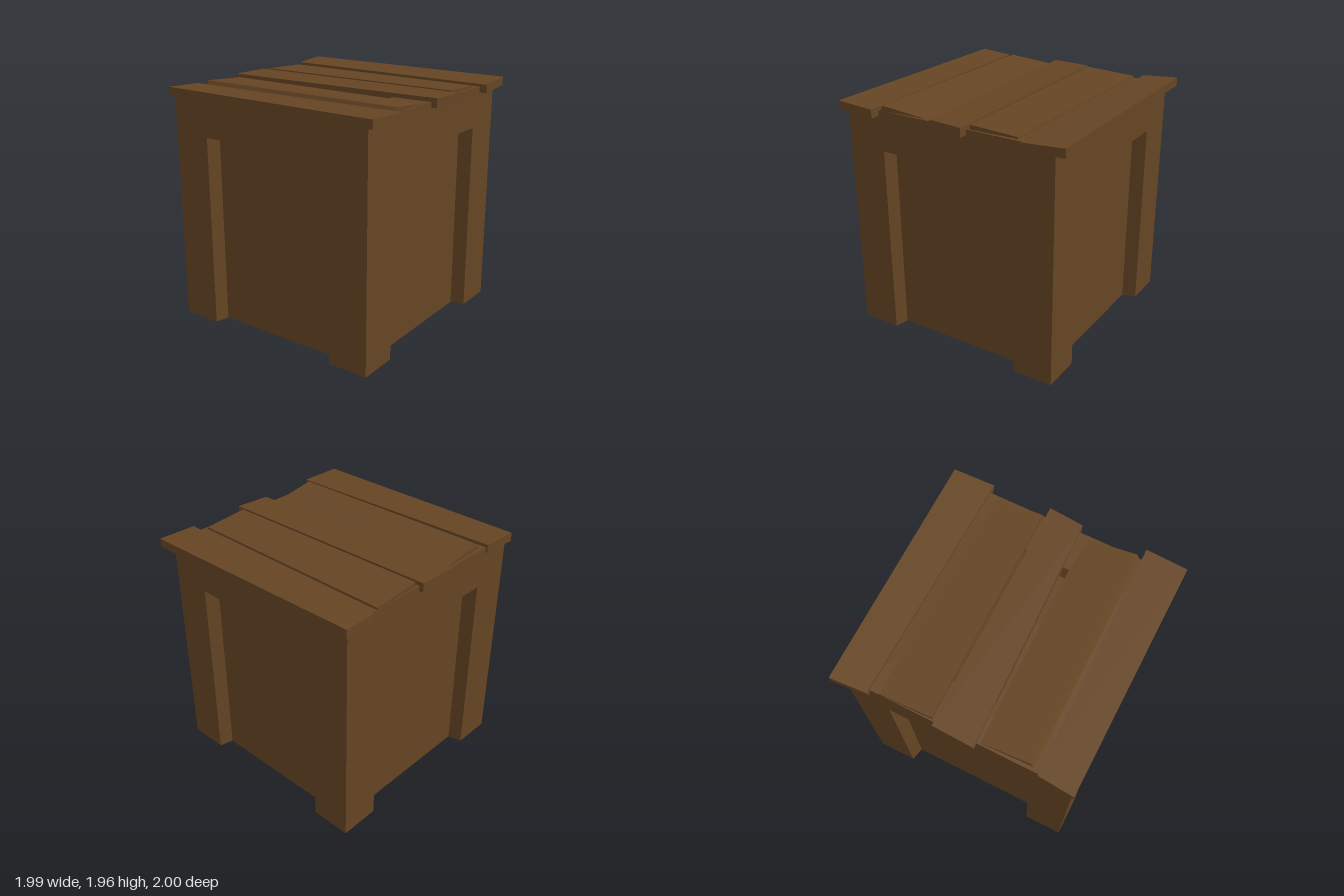
import * as THREE from 'three';

const wood = new THREE.MeshStandardMaterial({ color: 0x654524, side: THREE.DoubleSide });
wood.name = 'dark brown wood';

// Flat-faced mesh from quads whose corners run counter-clockwise seen from outside
function quadMesh(name, quads) {
  const pos = [];
  for (const [a, b, c, d] of quads) pos.push(...a, ...b, ...c, ...a, ...c, ...d);
  const geo = new THREE.BufferGeometry();
  geo.setAttribute('position', new THREE.Float32BufferAttribute(pos, 3));
  geo.computeVertexNormals();
  const mesh = new THREE.Mesh(geo, wood);
  mesh.name = name;
  return mesh;
}

const HALF = 0.926, TOP = 1.92;       // crate half width and height
const OPEN = 0.595, INNER = 0.57;     // recess half width at the rim and at the panel
const RIM = 1.59, INNER_TOP = 1.565;  // recess height at the rim and at the panel
const DEPTH = 0.115;

// One wall: two legs, a top rail, sloping reveals and a sunken panel
function wall(name) {
  const f = HALF, b = HALF - DEPTH;
  const quads = [
    [[-INNER, 0, b], [INNER, 0, b], [INNER, INNER_TOP, b], [-INNER, INNER_TOP, b]],
    [[-HALF, RIM, f], [HALF, RIM, f], [HALF, TOP, f], [-HALF, TOP, f]],
    [[-OPEN, RIM, f], [-INNER, INNER_TOP, b], [INNER, INNER_TOP, b], [OPEN, RIM, f]],
    [[-HALF, 0, f], [-OPEN, 0, f], [-OPEN, RIM, f], [-HALF, RIM, f]],
    [[OPEN, 0, f], [HALF, 0, f], [HALF, RIM, f], [OPEN, RIM, f]],
    [[-OPEN, 0, f], [-INNER, 0, b], [-INNER, INNER_TOP, b], [-OPEN, RIM, f]],
    [[INNER, 0, b], [OPEN, 0, f], [OPEN, RIM, f], [INNER, INNER_TOP, b]],
  ];
  return quadMesh(name, quads);
}

// Square top with a sunken middle, made as four mirrored-round strips
function crateTop() {
  const ring = (r, y) => [[-r, y, r], [r, y, r], [r, y, -r], [-r, y, -r]];
  const outer = ring(HALF, TOP), rim = ring(OPEN, TOP), floor = ring(INNER, TOP - DEPTH);
  const quads = [floor];
  for (let i = 0; i < 4; i++) {
    const j = (i + 1) % 4;
    quads.push([outer[i], outer[j], rim[j], rim[i]], [rim[i], rim[j], floor[j], floor[i]]);
  }
  return quadMesh('crateTop', quads);
}

// Crooked plank: corners [x, z, top y] in the order front-left, front-right,
// back-right, back-left; flare spreads the lower edge sideways
function plank(name, corners, thickness, flareLeft = 0, flareRight = 0) {
  const t = corners.map(([x, z, y]) => [x, y, z]);
  const b = corners.map(([x, z, y], i) =>
    [x + (i === 0 || i === 3 ? -flareLeft : flareRight), y - thickness, z]);
  const quads = [t, [b[3], b[2], b[1], b[0]]];
  for (let i = 0; i < 4; i++) {
    const j = (i + 1) % 4;
    quads.push([b[i], b[j], t[j], t[i]]);
  }
  return quadMesh(name, quads);
}

export function createModel() {
  const model = new THREE.Group();
  model.name = 'crate';

  // Open-bottomed body
  const body = new THREE.Group();
  body.name = 'body';
  body.position.set(-0.035, 0, -0.0125);
  ['frontWall', 'leftWall', 'backWall', 'rightWall'].forEach((name, i) => {
    const w = wall(name);
    w.rotation.y = i * Math.PI / 2;
    body.add(w);
  });
  body.add(crateTop());
  model.add(body);

  // Uneven lid planks, from -x to +x
  const lid = new THREE.Group();
  lid.name = 'lid';
  lid.add(
    plank('outerPlankRight', [[-1, 0.975, 1.955], [-0.655, 0.995, 1.945], [-0.69, -0.955, 1.945], [-0.98, -0.98, 1.955]], 0.07),
    plank('innerPlankRight', [[-0.61, 0.915, 1.963], [-0.19, 0.885, 1.917], [-0.23, -0.925, 1.932], [-0.615, -0.907, 1.963]], 0.07, 0.04),
    plank('middlePlank', [[-0.13, 0.96, 1.953], [0.16, 0.985, 1.953], [0.135, -0.975, 1.953], [-0.2, -0.985, 1.953]], 0.076),
    plank('innerPlankLeft', [[0.185, 0.9, 1.957], [0.575, 0.885, 1.935], [0.59, -0.938, 1.937], [0.165, -0.925, 1.957]], 0.07, 0.01, 0.015),
    plank('outerPlankLeft', [[0.65, 0.975, 1.94], [0.99, 0.955, 1.957], [0.965, -1, 1.963], [0.67, -0.975, 1.945]], 0.07),
  );
  model.add(lid);
  return model;
}
